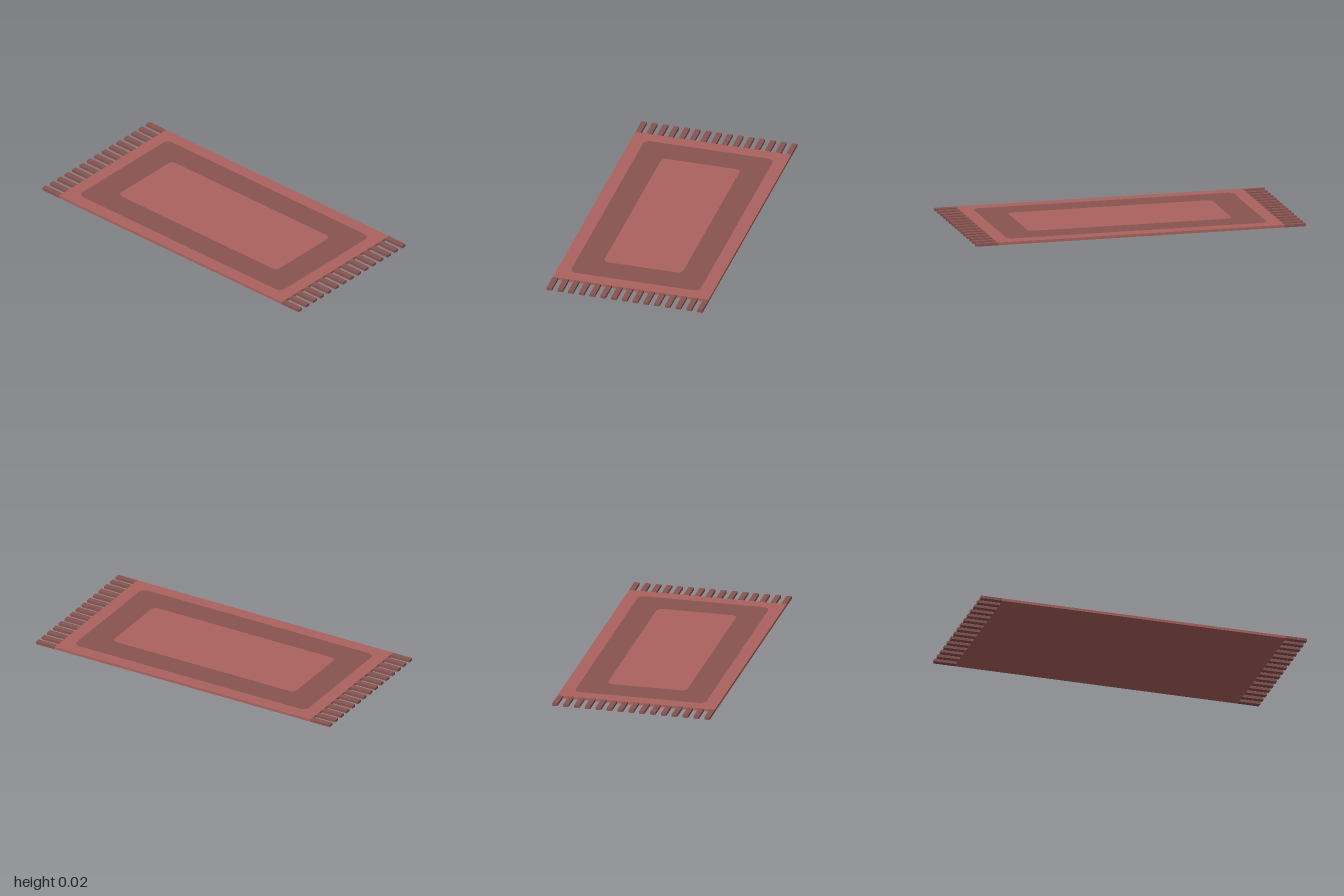
import * as THREE from 'three';

const HEIGHT = 0.016;
const HALF_X = 0.87;
const HALF_Z = 0.475;

// Rectangle with rounded corners, centred on the origin
function roundedRect(PathType, hx, hy, r) {
  const p = new PathType();
  p.moveTo(-hx + r, -hy);
  p.lineTo(hx - r, -hy);
  p.absarc(hx - r, -hy + r, r, -Math.PI / 2, 0);
  p.lineTo(hx, hy - r);
  p.absarc(hx - r, hy - r, r, 0, Math.PI / 2);
  p.lineTo(-hx + r, hy);
  p.absarc(-hx + r, hy - r, r, Math.PI / 2, Math.PI);
  p.lineTo(-hx, -hy + r);
  p.absarc(-hx + r, -hy + r, r, Math.PI, Math.PI * 1.5);
  return p;
}

export function createModel() {
  const group = new THREE.Group();
  group.name = 'rug';

  const red = new THREE.MeshStandardMaterial({ color: 0xaa625d });
  red.name = 'carpet red';
  const dark = new THREE.MeshStandardMaterial({ color: 0x885450 });
  dark.name = 'carpet dark';

  // Woven body
  const body = new THREE.Mesh(new THREE.BoxGeometry(HALF_X * 2, HEIGHT, HALF_Z * 2), red);
  body.name = 'body';
  body.position.y = HEIGHT / 2;
  group.add(body);

  // Dark band laid on the top face, open in the middle
  const bandShape = roundedRect(THREE.Shape, 0.79, 0.395, 0.04);
  bandShape.holes.push(roundedRect(THREE.Path, 0.62, 0.24, 0.035));
  const band = new THREE.Mesh(new THREE.ShapeGeometry(bandShape, 5), dark);
  band.name = 'borderBand';
  band.rotation.x = -Math.PI / 2;
  band.position.y = HEIGHT + 0.0008;
  group.add(band);

  // Tassels along both short ends
  const count = 15;
  const width = 0.032;
  const length = 1 - HALF_X;
  const tassel = new THREE.BoxGeometry(length, HEIGHT, width);
  for (const side of [-1, 1]) {
    const fringe = new THREE.Group();
    fringe.name = side > 0 ? 'leftFringe' : 'rightFringe';
    for (let i = 0; i < count; i++) {
      const t = (i / (count - 1)) * 2 - 1;
      const mesh = new THREE.Mesh(tassel, dark);
      mesh.name = 'tassel';
      mesh.position.set(side * (HALF_X + length / 2), HEIGHT / 2, t * (HALF_Z - width / 2));
      fringe.add(mesh);
    }
    group.add(fringe);
  }

  return group;
}
